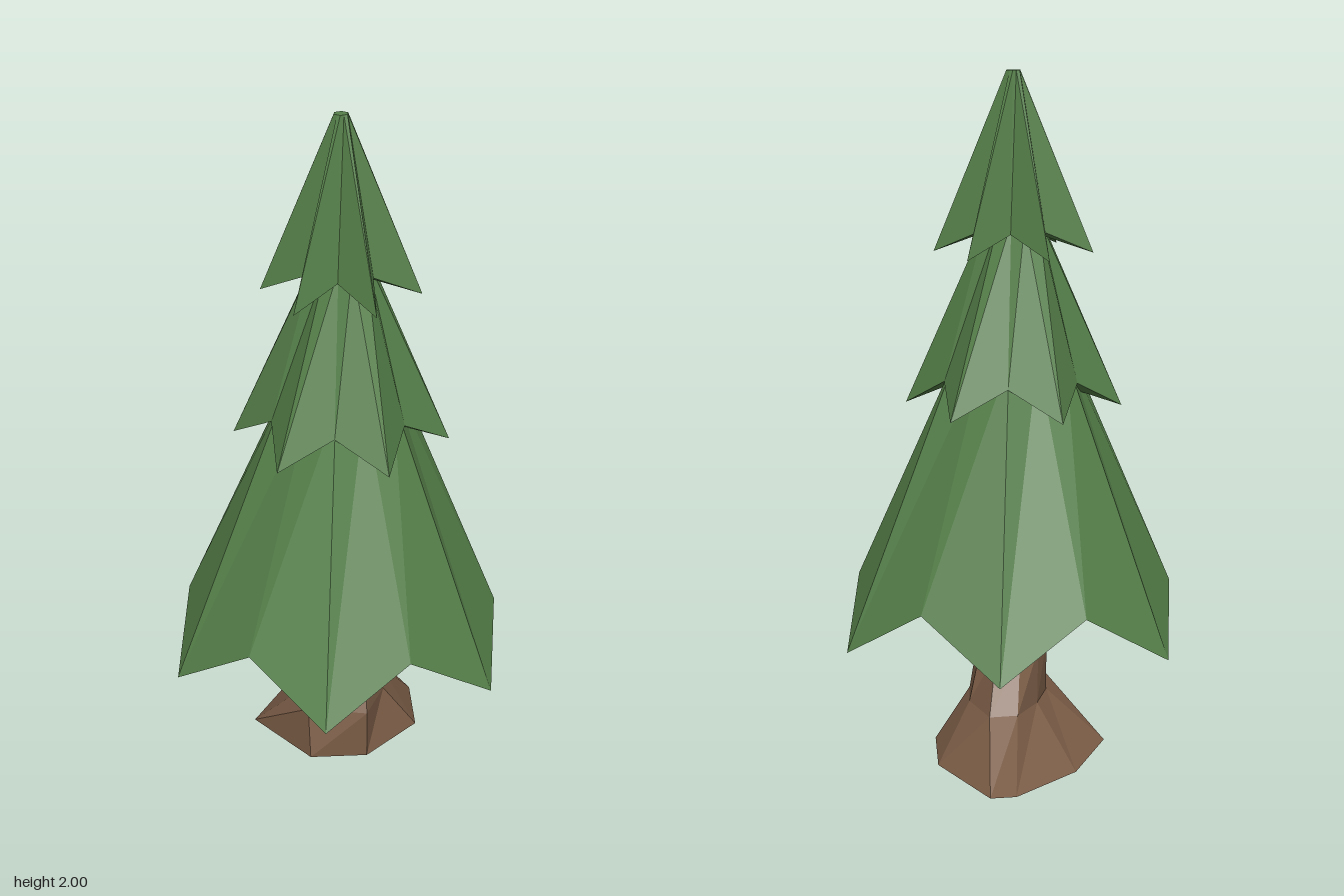
import * as THREE from 'three';

const green = new THREE.MeshStandardMaterial({ color: 0x557f49, flatShading: true });
const brown = new THREE.MeshStandardMaterial({ color: 0x7a5c46, flatShading: true });

// Skins a stack of equal-length rings of [x, y, z] points, anticlockwise seen from above
function loft(rings, material, name) {
  const pos = [];
  const tri = (a, b, c) => pos.push(...a, ...b, ...c);
  for (let r = 0; r < rings.length - 1; r++) {
    const a = rings[r], b = rings[r + 1], n = a.length;
    for (let i = 0; i < n; i++) {
      const j = (i + 1) % n;
      tri(a[i], a[j], b[j]);
      tri(a[i], b[j], b[i]);
    }
  }
  const geometry = new THREE.BufferGeometry();
  geometry.setAttribute('position', new THREE.Float32BufferAttribute(pos, 3));
  geometry.computeVertexNormals();
  const mesh = new THREE.Mesh(geometry, material);
  mesh.name = name;
  return mesh;
}

// Twelve-point ring alternating between branch tips and notches
function starRing(tipOnOdd, tipR, tipY, notchR = tipR, notchY = tipY) {
  return Array.from({ length: 12 }, (_, k) => {
    const isTip = (k % 2 === 1) === tipOnOdd;
    const r = isTip ? tipR : notchR;
    const a = (k * Math.PI) / 6;
    return [r * Math.cos(a), isTip ? tipY : notchY, -r * Math.sin(a)];
  });
}

// Skirt of branches: hollowed underside, jagged rim, sloping sides, small flat top
function tier(name, odd, tip, notch, inner, top) {
  return loft([
    starRing(odd, 0, inner[1] + 0.03),
    starRing(odd, inner[0], inner[1]),
    starRing(odd, ...tip, ...notch),
    starRing(odd, top[0], top[2], top[1], top[2]),
    starRing(odd, 0, top[2]),
  ], green, name);
}

function createTrunk() {
  // Outlines as [x, z]; the foot stretches backwards
  const sections = [
    [0.02, [[0.23, -0.06], [0.2, -0.27], [0.03, -0.5], [-0.04, -0.45], [-0.2, -0.27], [-0.275, -0.04], [-0.08, 0.155], [0.09, 0.13]]],
    [0.17, [[0.13, -0.02], [0.12, -0.14], [0.05, -0.27], [-0.03, -0.25], [-0.08, -0.14], [-0.1, -0.02], [-0.09, 0.12], [0.09, 0.13]]],
    [0.32, [[0.105, -0.02], [0.09, -0.09], [0.04, -0.14], [-0.03, -0.14], [-0.08, -0.09], [-0.1, -0.01], [-0.055, 0.065], [0.075, 0.065]]],
    [0.6, [[0.08, -0.01], [0.07, -0.06], [0.03, -0.09], [-0.03, -0.09], [-0.065, -0.06], [-0.08, 0], [-0.045, 0.07], [0.055, 0.07]]],
  ];
  const rings = sections.map(([y, pts]) => pts.map(([x, z]) => [x, y, z]));
  rings[0][3][1] = 0.005; // uneven foot
  rings[0][4][1] = 0.01;
  const point = (x, y, z) => Array.from({ length: 8 }, () => [x, y, z]);
  return loft([point(-0.02, 0, -0.16), ...rings, point(0, 0.6, 0)], brown, 'trunk');
}

export function createModel() {
  const tree = new THREE.Group();
  tree.name = 'pineTree';
  tree.add(
    createTrunk(),
    tier('lowerBranches', true, [0.533, 0.355], [0.462, 0.515], [0.2, 0.505], [0.18, 0.156, 1.2]),
    tier('middleBranches', false, [0.315, 1.04], [0.22, 1.125], [0.12, 1.12], [0.075, 0.087, 1.58]),
    tier('upperBranches', false, [0.23, 1.485], [0.11, 1.548], [0.07, 1.545], [0.019, 0.022, 2]),
  );
  return tree;
}
